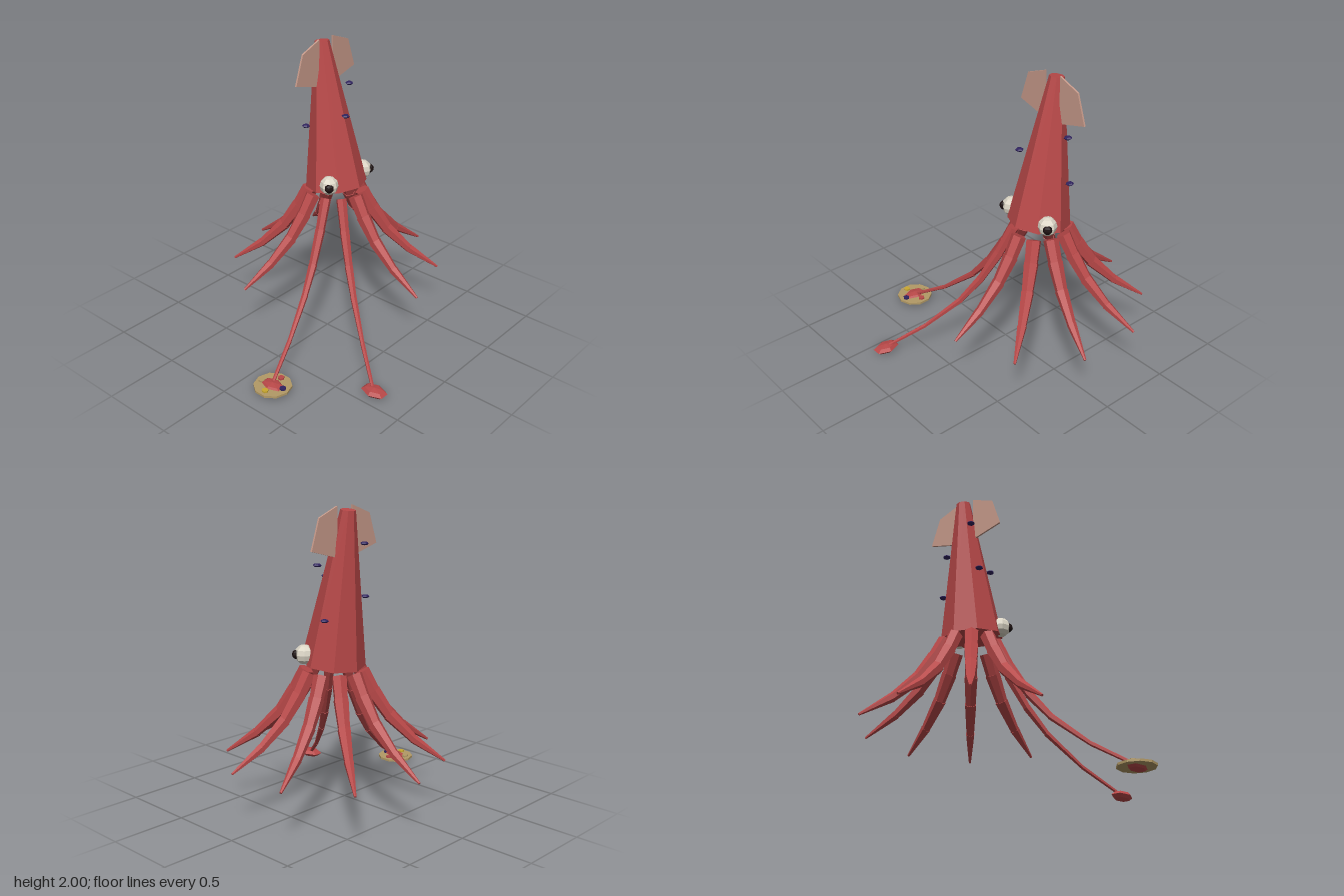
import * as THREE from 'three';

const mat = (name, color) => {
  const m = new THREE.MeshStandardMaterial({ color, flatShading: true });
  m.name = name;
  return m;
};

export function createModel() {
  const red = mat('bodyRed', 0xb84848);
  const finPink = mat('finPink', 0xc79a8a);
  const white = mat('eyeWhite', 0xdcd6c6);
  const black = mat('pupilBlack', 0x1c1010);
  const indigo = mat('spotIndigo', 0x30235f);
  const tan = mat('plateTan', 0xb39a66);
  const yellow = mat('dotYellow', 0xc9a830);

  const root = new THREE.Group();
  root.name = 'squid';
  const CX = 0.21, CZ = -0.11; // centre of the animal

  const add = (name, geo, material, x, y, z, parent = root) => {
    const mesh = new THREE.Mesh(geo, material);
    mesh.name = name;
    mesh.position.set(x, y, z);
    parent.add(mesh);
    return mesh;
  };
  const blob = (w, h, rx, ry, rz) => new THREE.SphereGeometry(1, w, h).scale(rx, ry, rz);

  // mantle: leaning eight-sided cone
  add('mantle', new THREE.CylinderGeometry(0.048, 0.206, 0.982, 8), red, CX, 1.488, -0.167)
    .rotation.x = -0.13;

  // fins, eyes and pupils, mirrored
  for (const s of [1, -1]) {
    const side = s > 0 ? 'left' : 'right';
    const outline = [[0.065, 2.0], [0.22, 1.94], [0.285, 1.745], [0.07, 1.687]]
      .map(([x, y]) => new THREE.Vector2(s * x, y));
    const fin = new THREE.ExtrudeGeometry(new THREE.Shape(outline), { depth: 0.012, bevelEnabled: false });
    add(side + 'Fin', fin, finPink, CX, 0, -0.206);
    add(side + 'Eye', blob(8, 6, 0.064, 0.064, 0.064), white, CX + s * 0.172, 1.07, -0.018);
    add(side + 'Pupil', blob(8, 6, 0.031, 0.031, 0.031), black, CX + s * 0.208, 1.07, 0.014);
  }

  // spots floating around the mantle
  const spots = [[0.4, 1.65, -0.155], [0.155, 1.535, 0.02], [0.062, 1.425, -0.24],
    [0.385, 1.31, -0.2], [0.11, 1.765, -0.275]];
  for (const p of spots) add('spot', blob(6, 4, 0.027, 0.012, 0.027), indigo, ...p);

  // limb: chain of tapered six-sided segments; path rows are [reach, height, radius]
  const UP = new THREE.Vector3(0, 1, 0);
  const limb = (name, angle, path) => {
    const g = new THREE.Group();
    g.name = name;
    g.position.set(CX, 0, CZ);
    g.rotation.y = angle;
    for (let i = 0; i < path.length - 1; i++) {
      const [r0, y0, w0] = path[i], [r1, y1, w1] = path[i + 1];
      const a = new THREE.Vector3(0, y0, r0), b = new THREE.Vector3(0, y1, r1);
      const dir = a.clone().sub(b);
      const last = i === path.length - 2;
      const geo = new THREE.CylinderGeometry(w0, last ? w1 : w1 * 0.9, dir.length() * (last ? 1 : 1.06), 6);
      const mid = a.add(b).multiplyScalar(0.5);
      add('segment', geo, red, mid.x, mid.y, mid.z, g)
        .quaternion.setFromUnitVectors(UP, dir.normalize());
    }
    root.add(g);
  };
  const armPath = [[0.18, 0.95, 0.05], [0.25, 0.82, 0.05], [0.355, 0.665, 0.043],
    [0.51, 0.515, 0.032], [0.715, 0.375, 0.008]];
  const tentaclePath = [[0.17, 0.95, 0.036], [0.265, 0.76, 0.034], [0.39, 0.56, 0.029],
    [0.53, 0.395, 0.022], [0.77, 0.2, 0.015], [1.04, 0.04, 0.011]];
  for (let k = 0; k < 10; k++) {
    const long = k >= 8;
    limb(long ? 'tentacle' : 'arm', (k * Math.PI) / 5, long ? tentaclePath : armPath);
  }

  // clubs at the tentacle ends
  const club = blob(6, 4, 0.062, 0.029, 0.096);
  add('frontClub', club, red, -0.402, 0.034, 0.74);
  add('sideClub', club, red, -0.782, 0.034, 0.22);

  // round plate with dots under the side club
  add('plate', new THREE.CylinderGeometry(0.125, 0.125, 0.015, 10), tan, -0.78, 0.035, 0.218);
  const dots = [[yellow, -0.861, 0.229], [red, -0.7, 0.215], [indigo, -0.773, 0.299], [tan, -0.797, 0.138]];
  for (const [m, x, z] of dots) {
    add('dot', new THREE.CylinderGeometry(0.022, 0.022, 0.014, 6), m, x, 0.047, z);
  }
  return root;
}
